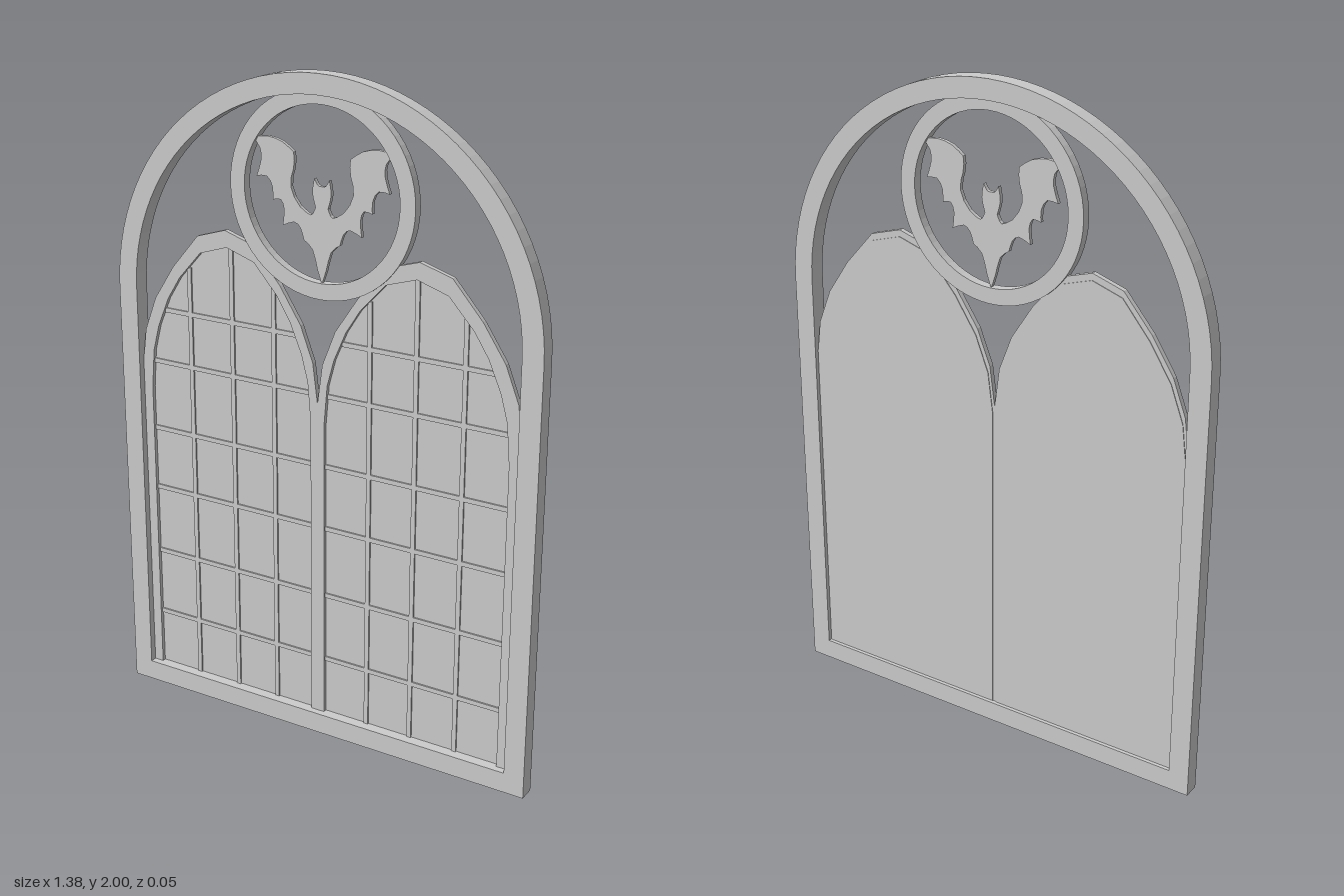
import * as THREE from 'three';

const material = new THREE.MeshStandardMaterial({ color: 0xcccccc, flatShading: true, side: THREE.DoubleSide });

// Extrude a flat shape from depth z0 to z1
function slab(name, shape, z0, z1, curveSegments = 24) {
  const geo = new THREE.ExtrudeGeometry(shape, { depth: z1 - z0, bevelEnabled: false, curveSegments });
  geo.translate(0, 0, z0);
  const mesh = new THREE.Mesh(geo, material);
  mesh.name = name;
  return mesh;
}

// Round-headed outline: straight sides with a half-circle on top
function roundArch(target, half, bottom, spring) {
  target.moveTo(-half, bottom);
  target.lineTo(half, bottom);
  target.lineTo(half, spring);
  target.absarc(0, spring, half, 0, Math.PI, false);
  target.lineTo(-half, bottom);
  return target;
}

// Lancet profiles: [fraction of half width, height], spring to crown
const OUTER = [[1, 1.06], [0.95, 1.18], [0.82, 1.285], [0.6, 1.39], [0.31, 1.495], [0, 1.525]];
const INNER = [[1, 1.0], [0.965, 1.12], [0.89, 1.2], [0.755, 1.29], [0.6, 1.36], [0.33, 1.445], [0, 1.475]];

function lancetPoints(profile, x0, x1, bottom) {
  const c = (x0 + x1) / 2, h = (x1 - x0) / 2;
  const right = profile.map(([u, y]) => new THREE.Vector2(c + u * h, y));
  const left = profile.slice(0, -1).reverse().map(([u, y]) => new THREE.Vector2(c - u * h, y));
  return [new THREE.Vector2(x0, bottom), new THREE.Vector2(x1, bottom), ...right, ...left];
}

// Height of the glazing opening at a given fraction, and the reverse
function lookup(v, from, to) {
  for (let i = 1; i < INNER.length; i++) {
    const a = INNER[i - 1], b = INNER[i];
    const t = (v - a[from]) / (b[from] - a[from]);
    if (t >= 0 && t <= 1) return a[to] + t * (b[to] - a[to]);
  }
  return 1;
}

function bar(name, w, h, x, y) {
  const mesh = new THREE.Mesh(new THREE.BoxGeometry(w, h, 0.006), material);
  mesh.position.set(x, y, -0.006);
  mesh.name = name;
  return mesh;
}

// One lancet light: frame, glass pane and glazing bars
function lancet(name, outer, inner, columns) {
  const group = new THREE.Group();
  group.name = name;
  const frame = new THREE.Shape(lancetPoints(OUTER, ...outer, 0.05));
  frame.holes.push(new THREE.Path(lancetPoints(INNER, ...inner, 0.062)));
  group.add(slab('lancetFrame', frame, -0.012, 0.004));

  const pane = lancetPoints(OUTER, outer[0] + 0.006, outer[1] - 0.006, 0.056);
  pane.forEach((p) => { if (p.y > 1) p.y -= 0.02; });
  group.add(slab('glassPane', new THREE.Shape(pane), -0.014, -0.008));

  const c = (inner[0] + inner[1]) / 2, h = (inner[1] - inner[0]) / 2;
  for (const x of columns) {
    const top = lookup(Math.abs(x - c) / h, 0, 1);
    group.add(bar('verticalGlazingBar', 0.014, top - 0.062, x, (top + 0.062) / 2));
  }
  for (const y of [0.243, 0.455, 0.672, 0.868, 1.085, 1.25]) {
    const u = y < 1 ? 1 : lookup(y, 1, 0);
    group.add(bar('horizontalGlazingBar', 2 * h * u, 0.014, c, y));
  }
  return group;
}

// Bat: half outline as curved runs between sharp corners, then mirrored
function batShape() {
  const runs = [
    [[0, 1.69], [0.012, 1.692], [0.024, 1.71]],
    [[0.024, 1.71], [0.03, 1.67], [0.02, 1.63]],
    [[0.02, 1.63], [0.035, 1.607], [0.069, 1.625]],
    [[0.069, 1.625], [0.097, 1.665], [0.098, 1.705], [0.088, 1.74], [0.09, 1.775]],
    [[0.09, 1.775], [0.127, 1.8], [0.175, 1.81], [0.223, 1.803]],
    [[0.223, 1.803], [0.2, 1.775], [0.197, 1.74], [0.212, 1.695]],
    [[0.212, 1.695], [0.178, 1.698], [0.16, 1.67], [0.159, 1.634]],
    [[0.159, 1.634], [0.133, 1.638], [0.122, 1.61], [0.127, 1.565]],
    [[0.127, 1.565], [0.09, 1.58], [0.069, 1.565], [0.058, 1.533]],
    [[0.058, 1.533], [0.03, 1.51], [0.014, 1.455], [0, 1.415]],
  ];
  const half = [];
  for (const run of runs) {
    const curve = new THREE.SplineCurve(run.map(([x, y]) => new THREE.Vector2(x, y)));
    half.push(...curve.getPoints(6).slice(0, -1));
  }
  const mirrored = half.slice(1).reverse().map((p) => new THREE.Vector2(-p.x, p.y));
  return new THREE.Shape([...half, new THREE.Vector2(0, 1.415), ...mirrored]);
}

export function createModel() {
  const model = new THREE.Group();
  model.name = 'archedWindow';

  // Main surround
  const surround = roundArch(new THREE.Shape(), 0.69, 0, 1.31);
  surround.holes.push(roundArch(new THREE.Path(), 0.627, 0.063, 1.315));
  model.add(slab('outerFrame', surround, -0.025, 0.025));

  // Pair of lancet lights sharing the central mullion
  model.add(lancet('rightLancet', [-0.63, -0.012], [-0.597, -0.035], [-0.455, -0.307, -0.164]));
  model.add(lancet('leftLancet', [-0.012, 0.63], [0.01, 0.593], [0.153, 0.3, 0.45]));

  // Roundel ring with the bat silhouette
  const ring = new THREE.Shape().absarc(0, 1.667, 0.295, 0, Math.PI * 2, false);
  ring.holes.push(new THREE.Path().absarc(0, 1.667, 0.248, 0, Math.PI * 2, true));
  model.add(slab('roundelRing', ring, -0.02, 0.008, 32));
  model.add(slab('bat', batShape(), -0.012, 0));

  return model;
}
